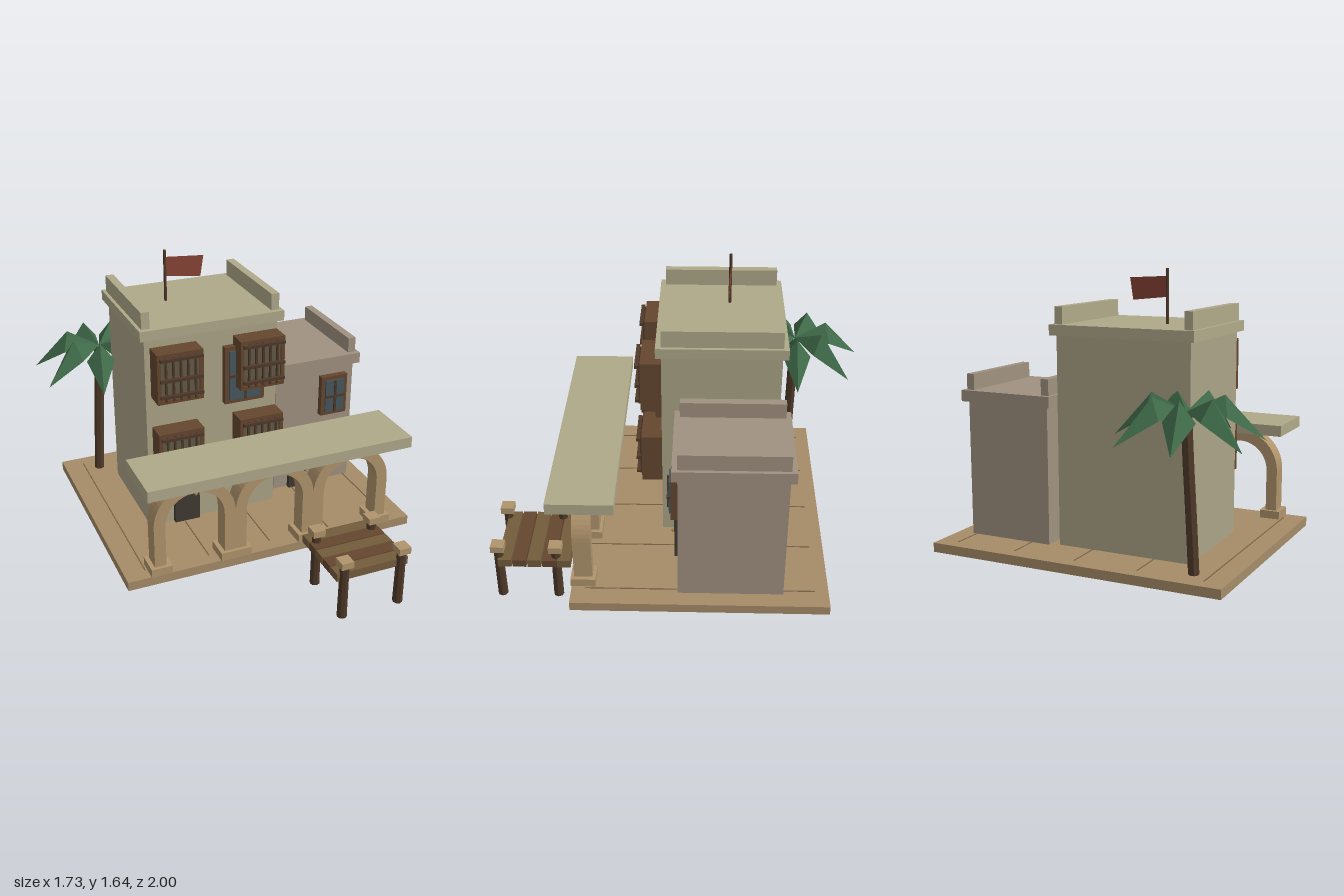
import * as THREE from 'three';

const mat = (color, side = THREE.FrontSide) => {
  const m = new THREE.MeshStandardMaterial({ color, side });
  m.flatShading = true;
  return m;
};
const M = {
  tower: mat(0xaca487), trim: mat(0xb0a98a), annex: mat(0xa09280), sand: mat(0xa68c69),
  arch: mat(0xb0946c), wood: mat(0x65462f), darkWood: mat(0x4f3929), plank: mat(0x745c3c),
  lattice: mat(0x625a47), door: mat(0x413a33), glass: mat(0x46565c), brass: mat(0xa8813c),
  line: mat(0x7d6749), flag: mat(0x8a4536, THREE.DoubleSide), leaf: mat(0x3f6a49, THREE.DoubleSide),
};

function add(parent, name, geometry, material) {
  const mesh = new THREE.Mesh(geometry, material);
  mesh.name = name;
  parent.add(mesh);
  return mesh;
}

// Box given by its extents on each axis
function box(parent, name, material, [x0, x1], [y0, y1], [z0, z1]) {
  const mesh = add(parent, name, new THREE.BoxGeometry(x1 - x0, y1 - y0, z1 - z0), material);
  mesh.position.set((x0 + x1) / 2, (y0 + y1) / 2, (z0 + z1) / 2);
  return mesh;
}

function group(parent, name) {
  const g = new THREE.Group();
  g.name = name;
  parent.add(g);
  return g;
}

// Flat-roofed block with a cornice and two side parapets
function building(parent, name, wall, trim, x, top, z, roof, parapetTop) {
  const g = group(parent, name);
  box(g, 'walls', wall, x, [0.21, top], z);
  box(g, 'cornice', trim, [x[0] - 0.028, x[1] + 0.028], [top, roof], [z[0] - 0.028, z[1] + 0.028]);
  for (const px of [x[0] - 0.01, x[1] - 0.034])
    box(g, 'parapet', trim, [px, px + 0.044], [roof, parapetTop], [z[0], z[1]]);
}

// Projecting wooden window box with a lattice of bars
function windowBox(parent, x0, y0) {
  const g = group(parent, 'latticeWindow');
  const x1 = x0 + 0.25, y1 = y0 + 0.275, f = 0.02;
  box(g, 'box', M.wood, [x0, x1], [y0, y1], [0.1, 0.2]);
  box(g, 'screen', M.lattice, [x0 + f, x1 - f], [y0 + f, y1 - f], [0.19, 0.203]);
  for (const x of [x0, x1 - f]) box(g, 'frameSide', M.wood, [x, x + f], [y0, y1], [0.2, 0.214]);
  for (const y of [y0, y1 - f]) box(g, 'frameRail', M.wood, [x0 + f, x1 - f], [y, y + f], [0.2, 0.214]);
  for (let i = 0; i < 5; i++) {
    const x = x0 + 0.045 + i * 0.04;
    box(g, 'bar', M.darkWood, [x - 0.005, x + 0.005], [y0 + 0.015, y1 - 0.015], [0.212, 0.225]);
  }
  for (const dy of [0.048, 0.137, 0.25])
    box(g, 'crossbar', M.darkWood, [x0 + 0.01, x1 - 0.01], [y0 + dy - 0.008, y0 + dy + 0.008], [0.222, 0.242]);
}

// Framed four-pane window standing on the wall plane z
function panedWindow(parent, [x0, x1], [y0, y1], z, depth) {
  const g = group(parent, 'window');
  const f = 0.023, cx = (x0 + x1) / 2, cy = (y0 + y1) / 2, front = z + depth;
  box(g, 'frame', M.wood, [x0, x1], [y0, y1], [z - 0.01, front]);
  box(g, 'glass', M.glass, [x0 + f, x1 - f], [y0 + f, y1 - f], [z, front + 0.01]);
  box(g, 'mullion', M.darkWood, [cx - 0.006, cx + 0.006], [y0 + f, y1 - f], [z, front + 0.02]);
  box(g, 'transom', M.darkWood, [x0 + f, x1 - f], [cy - 0.006, cy + 0.006], [z, front + 0.02]);
}

function door(parent, [x0, x1], z) {
  const g = group(parent, 'door');
  box(g, 'panel', M.door, [x0, x1], [0.21, 0.525], [z - 0.01, z + 0.026]);
  const knob = add(g, 'knob', new THREE.SphereGeometry(0.009, 8, 6), M.brass);
  knob.position.set(x1 - 0.025, 0.37, z + 0.033);
}

function arcade(parent) {
  const g = group(parent, 'arcade');
  const R = 0.2215, r = 0.16, cy = 0.485, foot = 0.25, first = -0.393, step = 0.443;
  // One arch with its legs, repeated three times
  const s = new THREE.Shape();
  s.moveTo(-R, foot);
  s.lineTo(-R, cy);
  s.absarc(0, cy, R, Math.PI, 0, true);
  s.lineTo(R, foot);
  s.lineTo(r, foot);
  s.lineTo(r, cy);
  s.absarc(0, cy, r, 0, Math.PI, false);
  s.lineTo(-r, foot);
  s.closePath();
  const geo = new THREE.ExtrudeGeometry(s, { depth: 0.095, bevelEnabled: false, curveSegments: 14 });
  for (let i = 0; i < 3; i++) add(g, 'arch', geo, M.arch).position.set(first + i * step, 0, 0.452);
  // Wide footings under the shared legs, narrow ones at the ends
  for (const [x0, x1] of [[-0.638, -0.525], [-0.257, -0.086], [0.186, 0.357], [0.627, 0.738]])
    box(g, 'footing', M.arch, [x0, x1], [0.21, 0.255], [0.435, 0.565]);
  box(g, 'canopy', M.trim, [-0.675, 0.777], [0.715, 0.775], [0.32, 0.66]);
}

function jetty(parent) {
  const g = group(parent, 'jetty');
  for (let i = 0; i < 5; i++) {
    const z = 0.93 - i * 0.0785;
    box(g, 'plank', i % 2 ? M.wood : M.plank, [0.2, 0.61], [0.222, 0.266], [z - 0.036, z + 0.036]);
  }
  for (const x of [0.241, 0.569]) for (const z of [0.66, 0.965]) {
    add(g, 'post', new THREE.CylinderGeometry(0.025, 0.027, 0.31, 8), M.darkWood).position.set(x, 0.155, z);
    box(g, 'postCap', M.arch, [x - 0.034, x + 0.034], [0.308, 0.345], [z - 0.035, z + 0.035]);
  }
}

function palm(parent) {
  const g = group(parent, 'palm');
  const path = new THREE.CatmullRomCurve3([
    new THREE.Vector3(-0.568, 0.2, -0.63), new THREE.Vector3(-0.552, 0.5, -0.632),
    new THREE.Vector3(-0.535, 0.78, -0.634), new THREE.Vector3(-0.525, 1.0, -0.635)]);
  add(g, 'trunk', new THREE.TubeGeometry(path, 6, 0.028, 7), M.darkWood);
  // Folded leaf: raised ridge, lower sides, drooping tip
  const root = [0, 0, 0], ridge = [0.18, 0.08, 0], tip = [0.378, -0.14, 0];
  const left = [0.185, -0.02, -0.078], right = [0.185, -0.02, 0.078];
  const geo = new THREE.BufferGeometry();
  geo.setAttribute('position', new THREE.Float32BufferAttribute([
    root, ridge, left, left, ridge, tip, root, right, ridge, right, tip, ridge].flat(), 3));
  geo.computeVertexNormals();
  for (let i = 0; i < 7; i++) {
    const leaf = add(g, 'leaf', geo, M.leaf);
    leaf.position.set(-0.525, 1.0, -0.635);
    leaf.rotation.y = i * Math.PI * 2 / 7;
  }
}

function flagpole(parent) {
  const g = group(parent, 'flagpole');
  add(g, 'pole', new THREE.CylinderGeometry(0.008, 0.008, 0.28, 8), M.darkWood).position.set(-0.247, 1.505, -0.246);
  const s = new THREE.Shape([[0, 1.5], [0.19, 1.48], [0.208, 1.594], [0, 1.605]].map(p => new THREE.Vector2(...p)));
  const flag = add(g, 'flag', new THREE.ShapeGeometry(s), M.flag);
  flag.position.set(-0.24, 0, -0.25);
  flag.rotation.y = -0.07;
}

export function createModel() {
  const model = new THREE.Group();
  model.name = 'desertHouse';

  // Ground slab with thin paving joints
  box(model, 'groundSlab', M.sand, [-0.763, 0.863], [0.16, 0.21], [-0.77, 0.56]);
  for (let i = 0; i < 5; i++) {
    const x = -0.65 + i * 0.35;
    box(model, 'pavingJoint', M.line, [x - 0.003, x + 0.003], [0.205, 0.213], [-0.7, 0.49]);
  }

  building(model, 'tower', M.tower, M.trim, [-0.49, 0.247], 1.31, [-0.508, 0.105], 1.365, 1.455);
  building(model, 'annex', M.annex, M.annex, [0.295, 0.775], 0.94, [-0.535, 0.008], 1.0, 1.085);

  for (const x of [-0.46, -0.005]) for (const y of [0.538, 0.985]) windowBox(model, x, y);
  panedWindow(model, [-0.063, 0.162], [0.885, 1.21], 0.105, 0.035);
  panedWindow(model, [0.565, 0.725], [0.65, 0.887], 0.008, 0.035);
  door(model, [-0.353, -0.21], 0.105);
  door(model, [0.382, 0.49], 0.008);

  arcade(model);
  jetty(model);
  palm(model);
  flagpole(model);
  return model;
}
